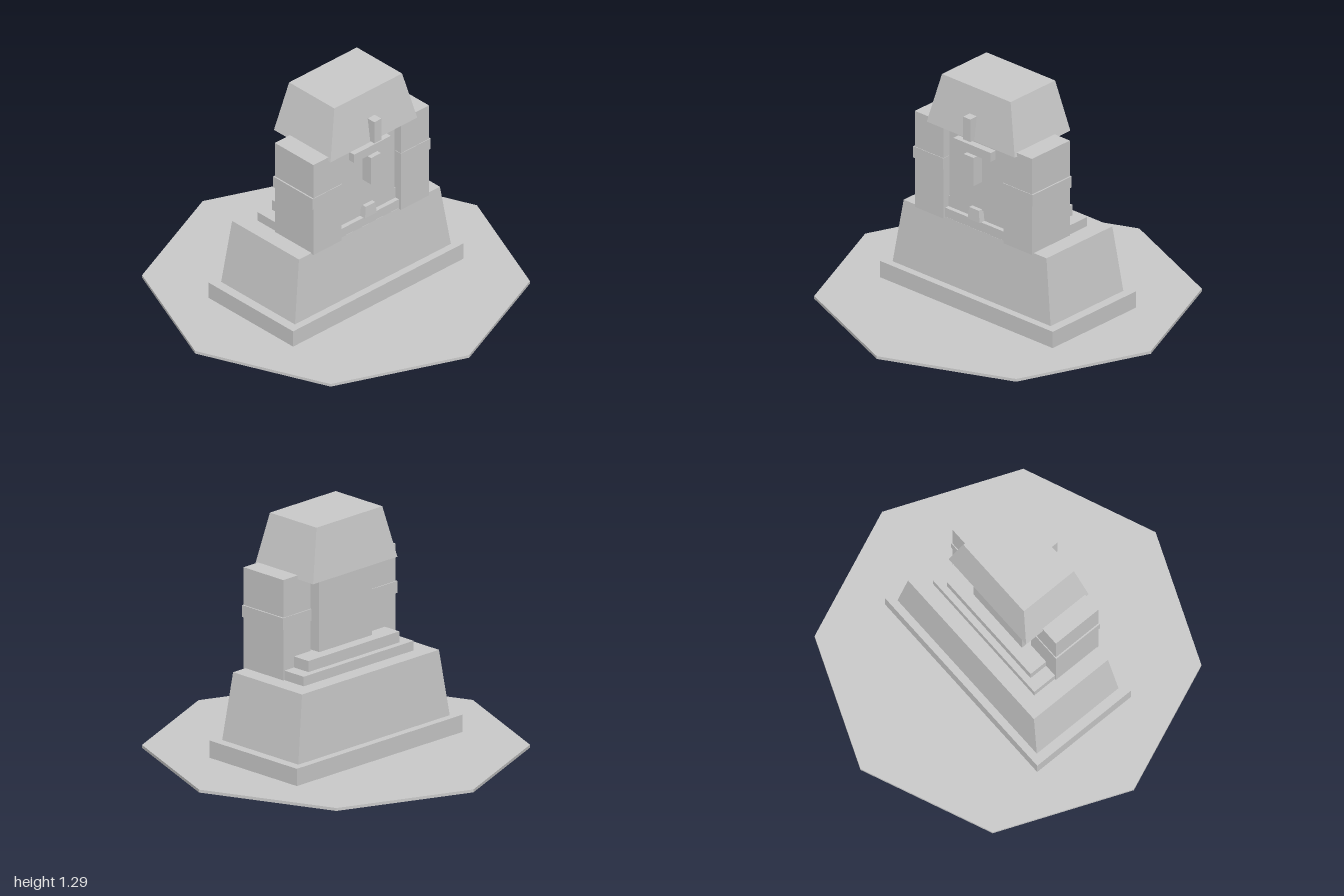
import * as THREE from 'three';

const material = new THREE.MeshStandardMaterial({ color: 0xcccccc, flatShading: true });

// Block given by its x, y and z ranges
function block(name, [x0, x1], [y0, y1], [z0, z1]) {
  const mesh = new THREE.Mesh(new THREE.BoxGeometry(x1 - x0, y1 - y0, z1 - z0), material);
  mesh.name = name;
  mesh.position.set((x0 + x1) / 2, (y0 + y1) / 2, (z0 + z1) / 2);
  return mesh;
}

// Block whose top face is drawn in by the factors tx and tz
function taperedBlock(name, xs, ys, zs, tx, tz) {
  const mesh = block(name, xs, ys, zs);
  const p = mesh.geometry.attributes.position;
  for (let i = 0; i < p.count; i++) {
    if (p.getY(i) > 0) {
      p.setX(i, p.getX(i) * tx);
      p.setZ(i, p.getZ(i) * tz);
    }
  }
  mesh.geometry.computeVertexNormals();
  return mesh;
}

export function createModel() {
  const model = new THREE.Group();
  model.name = 'stoneMonument';

  // Octagonal ground slab
  const ground = new THREE.Mesh(new THREE.CylinderGeometry(1, 1, 0.016, 8), material);
  ground.name = 'groundSlab';
  ground.position.y = 0.013;
  model.add(ground);

  // Plinth and sloping base
  model.add(
    block('plinth', [-0.605, 0.605], [0.01, 0.115], [-0.318, 0.318]),
    taperedBlock('slopingBase', [-0.57, 0.57], [0, 0.478], [-0.285, 0.285], 0.877, 0.88)
  );

  // Two steps under the centre stone
  model.add(
    block('lowerStep', [-0.402, 0.402], [0.47, 0.53], [-0.165, 0.25]),
    block('upperStep', [-0.332, 0.332], [0.53, 0.59], [-0.13, 0.225])
  );

  // Centre stone with its raised cross and foot block
  model.add(
    block('centreStone', [-0.193, 0.193], [0.59, 1.03], [-0.07, 0.235]),
    block('crossArm', [-0.13, 0.13], [0.917, 0.968], [0.22, 0.274]),
    block('crossShaft', [-0.035, 0.035], [0.755, 0.917], [0.22, 0.3]),
    taperedBlock('footBlock', [-0.042, 0.042], [0.53, 0.597], [0.2, 0.262], 0.8, 0.9)
  );

  // Side pillars with their bands
  for (const [side, s] of [['left', 1], ['right', -1]]) {
    const span = (a, b) => (s > 0 ? [a, b] : [-b, -a]);
    model.add(
      block(side + 'Pillar', span(0.21, 0.41), [0.472, 1.025], [-0.025, 0.264]),
      block(side + 'Band', span(0.208, 0.418), [0.755, 0.82], [-0.03, 0.267])
    );
  }

  // Sloping cap with a peg on its front
  model.add(
    taperedBlock('cap', [-0.308, 0.308], [1.005, 1.287], [-0.14, 0.284], 0.78, 0.8),
    block('capPeg', [-0.025, 0.025], [1.01, 1.14], [0.22, 0.314])
  );
  return model;
}
